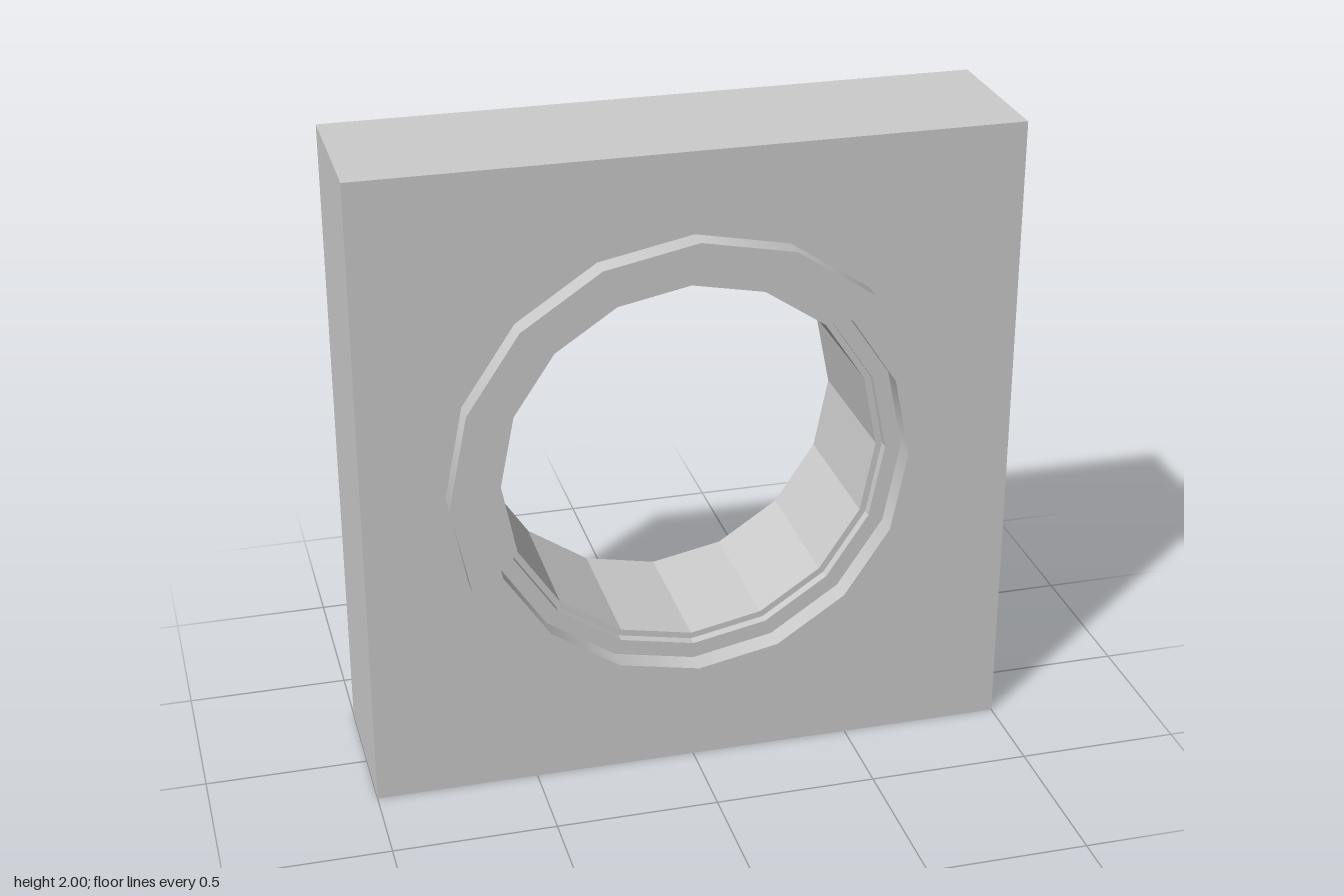
import * as THREE from 'three';
import { mergeGeometries } from 'three/addons/utils/BufferGeometryUtils.js';

const SIDES = 16;
const BACK = -0.285, FACE = 0.215, FRONT = 0.285;
const BORE = 0.58, RECESS = 0.6, RECESS_DEPTH = 0.03;

// Revolve a [radius, z] profile about the z axis, one band per step so edges stay sharp
function turned(profile) {
  const bands = [];
  for (let i = 0; i < profile.length - 1; i++) {
    const pts = [profile[i], profile[i + 1]].map(([r, z]) => new THREE.Vector2(r, z));
    bands.push(new THREE.LatheGeometry(pts, SIDES).rotateX(Math.PI / 2));
  }
  return mergeGeometries(bands);
}

// Square face pierced by a many-sided hole
function piercedFace(radius) {
  const shape = new THREE.Shape([[-1, -1], [1, -1], [1, 1], [-1, 1]].map(([x, y]) => new THREE.Vector2(x, y)));
  const hole = [];
  for (let i = 0; i < SIDES; i++) {
    const a = -i / SIDES * Math.PI * 2;
    hole.push(new THREE.Vector2(Math.cos(a) * radius, Math.sin(a) * radius));
  }
  shape.holes.push(new THREE.Path(hole));
  return new THREE.ShapeGeometry(shape);
}

export function createModel() {
  const group = new THREE.Group();
  const flat = new THREE.MeshStandardMaterial({ color: 0xcccccc, flatShading: true });
  const smooth = new THREE.MeshStandardMaterial({ color: 0xcccccc });
  const add = (parent, name, geometry, material) => {
    const mesh = new THREE.Mesh(geometry, material);
    mesh.name = name;
    parent.add(mesh);
  };

  // Square plate: four sides, two pierced faces and a stepped bore
  const plate = new THREE.Group();
  plate.name = 'plate';
  const sides = new THREE.CylinderGeometry(Math.SQRT2, Math.SQRT2, FACE - BACK, 4, 1, true)
    .rotateY(Math.PI / 4).rotateX(Math.PI / 2).translate(0, 0, (FACE + BACK) / 2);
  add(plate, 'plateSides', sides, flat);
  add(plate, 'plateFront', piercedFace(RECESS).translate(0, 0, FACE), flat);
  add(plate, 'plateBack', piercedFace(BORE).rotateY(Math.PI).translate(0, 0, BACK), flat);
  const floor = FACE - RECESS_DEPTH;
  add(plate, 'bore', turned([[RECESS, FACE], [RECESS, floor], [BORE, floor], [BORE, BACK]]), flat);
  group.add(plate);

  // Raised ring around the opening
  add(group, 'frontRing', turned([[0.75, FACE], [0.75, FRONT], [0.65, FRONT], [0.65, FACE]]), smooth);

  // Stand the plate on the floor
  group.children.forEach((part) => { part.position.y = 1; });
  return group;
}
